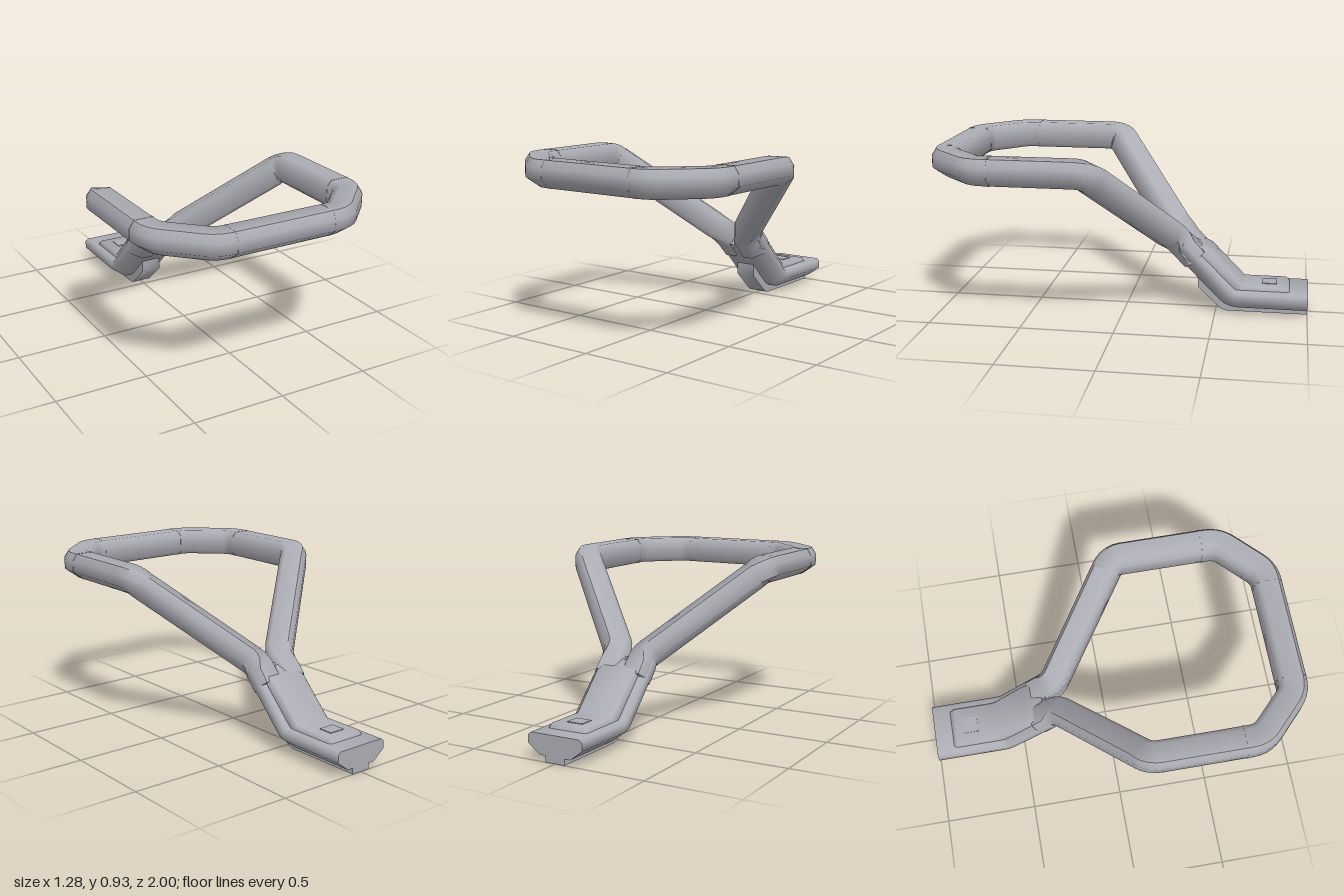
import * as THREE from 'three';
import { toCreasedNormals } from 'three/addons/utils/BufferGeometryUtils.js';

const material = new THREE.MeshStandardMaterial({ color: 0xacacb4 });
const UP = new THREE.Vector3(0, 1, 0);
const CREASE = 0.95; // chamfers blend smoothly, square edges stay sharp
const V = (x, y, z) => new THREE.Vector3(x, y, z);

// Replaces each inner corner of a polyline by a short curve.
function roundCorners(points, cut, steps = 5) {
  const out = [points[0]];
  for (let i = 1; i < points.length - 1; i++) {
    const p = points[i];
    const toward = q => p.clone().add(q.clone().sub(p).setLength(cut));
    const bend = new THREE.QuadraticBezierCurve3(toward(points[i - 1]), p, toward(points[i + 1]));
    out.push(...bend.getPoints(steps));
  }
  out.push(points[points.length - 1]);
  return out;
}

// Sweeps a counter-clockwise [side, up] profile along a path, keeping it level, with capped ends.
function sweep(path, profile, scale = 1) {
  const n = profile.length, pos = [], index = [];
  path.forEach((p, i) => {
    const d = V(0, 0, 0);
    if (i > 0) d.add(p.clone().sub(path[i - 1]).normalize());
    if (i < path.length - 1) d.add(path[i + 1].clone().sub(p).normalize());
    d.normalize();
    const side = UP.clone().cross(d).normalize();
    const up = d.clone().cross(side);
    for (const [s, u] of profile) {
      const q = p.clone().addScaledVector(side, s * scale).addScaledVector(up, u * scale);
      pos.push(q.x, q.y, q.z);
    }
  });
  for (let i = 0; i < path.length - 1; i++) {
    for (let j = 0; j < n; j++) {
      const a = i * n + j, b = i * n + (j + 1) % n;
      index.push(a, b, b + n, a, b + n, a + n);
    }
  }
  const last = (path.length - 1) * n;
  for (let j = 1; j < n - 1; j++) {
    index.push(0, j + 1, j, last, last + j, last + j + 1);
  }
  const g = new THREE.BufferGeometry();
  g.setAttribute('position', new THREE.Float32BufferAttribute(pos, 3));
  g.setIndex(index);
  return toCreasedNormals(g, CREASE);
}

// Extrudes a [z, y] outline symmetrically across x.
function acrossX(outline, halfWidth, bevel) {
  const shape = new THREE.Shape(outline.map(([z, y]) => new THREE.Vector2(z, y)));
  const depth = 2 * (halfWidth - bevel);
  const g = new THREE.ExtrudeGeometry(shape, {
    depth, bevelEnabled: bevel > 0, bevelSize: bevel, bevelOffset: -bevel,
    bevelThickness: bevel, bevelSegments: 1,
  });
  g.rotateY(-Math.PI / 2);
  g.translate(depth / 2, 0, 0);
  return toCreasedNormals(g, CREASE);
}

export function createModel() {
  const model = new THREE.Group();
  const add = (name, geometry) => {
    const mesh = new THREE.Mesh(geometry, material);
    mesh.name = name;
    model.add(mesh);
    return mesh;
  };

  // Loop frame: arms rising out of the neck, straight sides and a front bar in one sweep
  const railProfile = [
    [0.075, 0.035], [0.05, 0.073], [-0.048, 0.073], [-0.075, 0.045],
    [-0.075, -0.05], [-0.05, -0.073], [0.01, -0.073], [0.075, -0.025],
  ];
  const half = [
    V(0.08, 0.3, -0.385), V(0.08, 0.405, -0.285), V(0.565, 0.852, 0.13),
    V(0.565, 0.852, 0.71), V(0.345, 0.852, 0.925),
  ];
  const mirrored = half.map(p => V(-p.x, p.y, p.z)).reverse();
  add('loopFrame', sweep(roundCorners([...half, ...mirrored], 0.06), railProfile));

  // Thin joint bands where the curved front corners meet the straight rails
  for (const sx of [1, -1]) {
    const z = sx > 0 ? [0.615, 0.627] : [0.627, 0.615];
    add('sideJointBand', sweep(z.map(v => V(sx * 0.565, 0.852, v)), railProfile, 1.02));
    add('frontJointBand', sweep([0.278, 0.266].map(v => V(sx * 0.0 + sx * v, 0.852, 0.925))
      .sort((a, b) => b.x - a.x), railProfile, 1.01));
  }

  // Neck: slopes down from the arms, then runs level to the back end
  const neckProfile = [
    [0.158, 0.042], [0.14, 0.056], [-0.14, 0.056], [-0.158, 0.042],
    [-0.158, 0.0], [-0.09, -0.052], [0.09, -0.052], [0.158, 0.0],
  ];
  const neckPath = [V(0, 0.37, -0.3), V(0, 0.085, -0.585), V(0, 0.085, -1)];
  add('neck', sweep(roundCorners(neckPath, 0.04, 3), neckProfile));

  // Narrow keel under the neck
  add('keel', acrossX([
    [-0.4, 0.23], [-0.4, 0.13], [-0.53, 0.01], [-0.56, 0],
    [-1, 0], [-1, 0.06], [-0.6, 0.06],
  ], 0.056, 0));

  // Raised cover on the neck, following its bend
  add('cover', acrossX([
    [-0.36, 0.34], [-0.62, 0.1], [-0.9, 0.1], [-0.9, 0.142], [-0.88, 0.162],
    [-0.65, 0.162], [-0.465, 0.35], [-0.4, 0.378], [-0.36, 0.40],
  ], 0.115, 0.012));

  // Small button on the level part of the cover
  const button = add('button', new THREE.BoxGeometry(0.09, 0.008, 0.08));
  button.position.set(0, 0.162, -0.79);

  return model;
}
